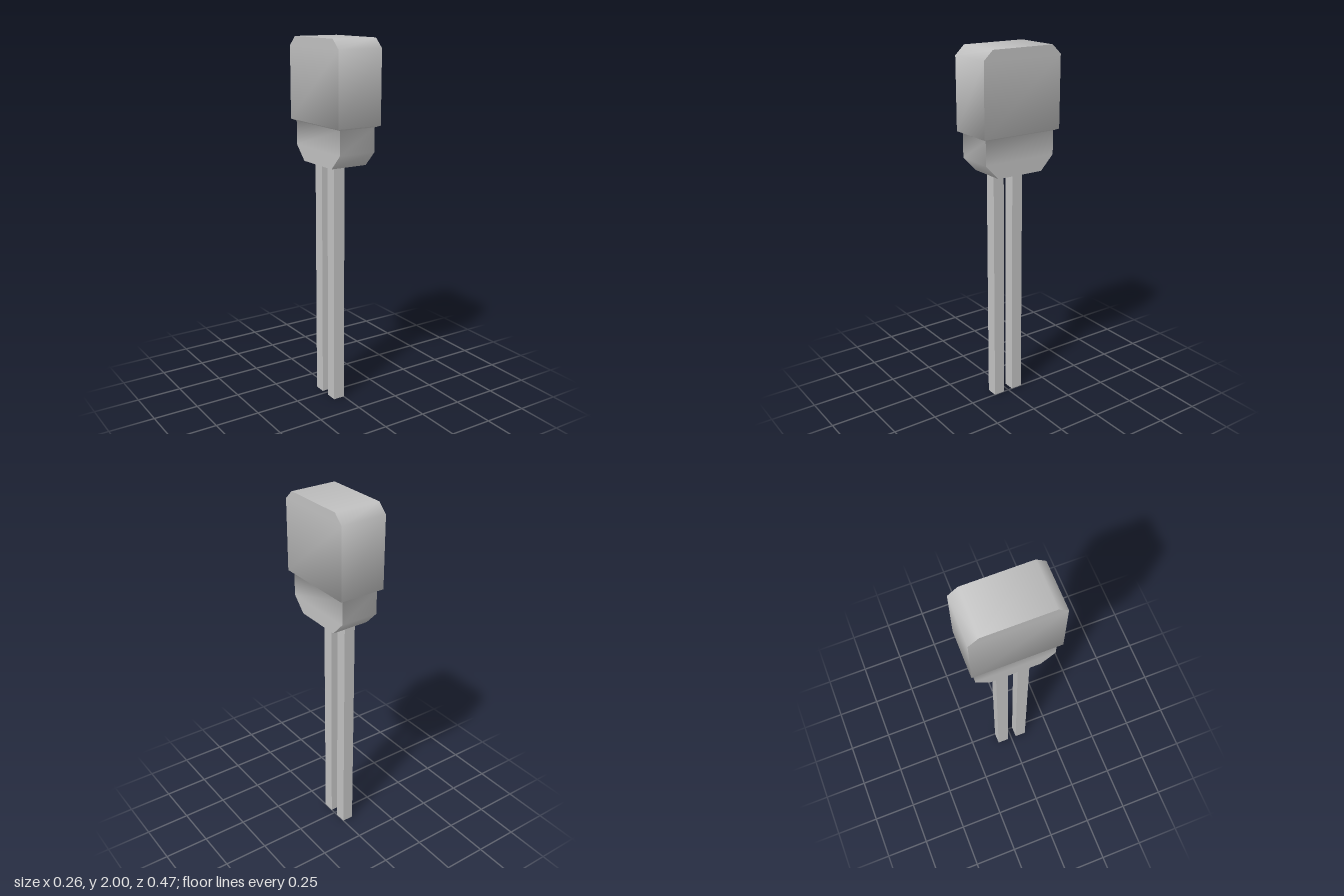
import * as THREE from 'three';
import { toCreasedNormals } from 'three/addons/utils/BufferGeometryUtils.js';

// Stack of rectangular sections [y, half width x, half depth z], bottom to top
function loftRectangles(sections) {
  const points = [];
  const index = [];
  for (const [y, hx, hz] of sections) {
    points.push(hx, y, hz, hx, y, -hz, -hx, y, -hz, -hx, y, hz);
  }
  for (let i = 0; i < sections.length - 1; i++) {
    for (let k = 0; k < 4; k++) {
      const a = i * 4 + k;
      const b = i * 4 + (k + 1) % 4;
      index.push(a, b, b + 4, a, b + 4, a + 4);
    }
  }
  const t = (sections.length - 1) * 4;
  index.push(0, 2, 1, 0, 3, 2); // bottom cap
  index.push(t, t + 1, t + 2, t, t + 2, t + 3); // top cap
  const geometry = new THREE.BufferGeometry();
  geometry.setAttribute('position', new THREE.Float32BufferAttribute(points, 3));
  geometry.setIndex(index);
  return toCreasedNormals(geometry, 1.3);
}

export function createModel() {
  const model = new THREE.Group();
  model.name = 'twoLeadComponent';

  const grey = new THREE.MeshStandardMaterial({ color: 0xc0c0c0 });
  grey.name = 'light grey';

  // Chamfered block with a narrower stepped base
  const body = new THREE.Mesh(loftRectangles([
    [1.34, 0.107, 0.137],
    [1.42, 0.107, 0.214],
    [1.55, 0.107, 0.214],
    [1.56, 0.13, 0.236],
    [1.95, 0.13, 0.236],
    [2.0, 0.13, 0.183],
  ]), grey);
  body.name = 'body';
  model.add(body);

  // Two square leads, set slightly off centre
  const leadGeometry = new THREE.BoxGeometry(0.065, 1.34, 0.065);
  for (const [name, z] of [['frontLead', 0.063], ['backLead', -0.058]]) {
    const lead = new THREE.Mesh(leadGeometry, grey);
    lead.name = name;
    lead.position.set(-0.032, 0.67, z);
    model.add(lead);
  }

  return model;
}
